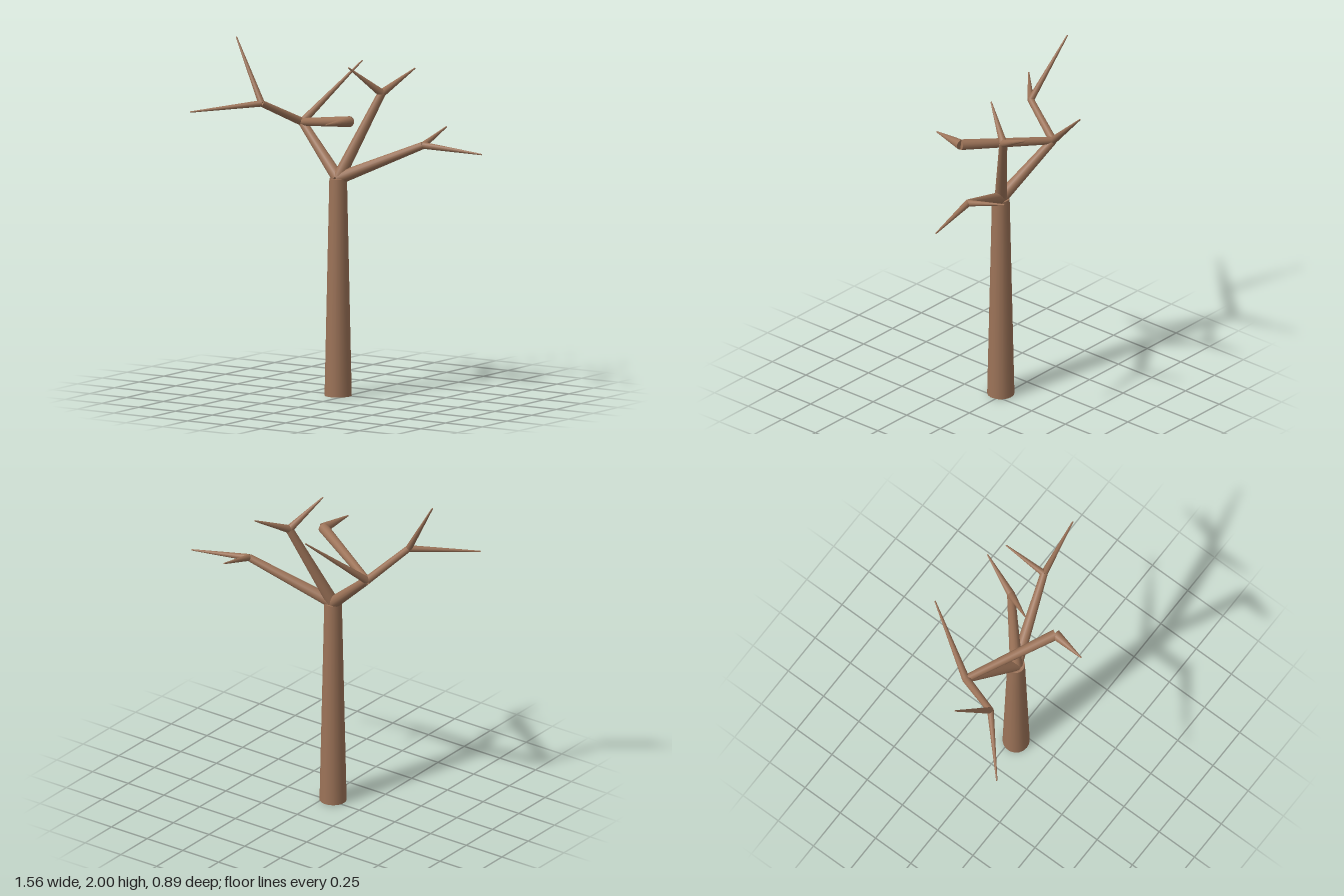
import * as THREE from 'three';

const bark = new THREE.MeshStandardMaterial({ color: 0x9c7358 });
const UP = new THREE.Vector3(0, 1, 0);

// Tapered limb running from point a (radius ra) to point b (radius rb)
function limb(name, a, b, ra, rb, sides = 14) {
  const start = new THREE.Vector3(...a);
  const dir = new THREE.Vector3(...b).sub(start);
  const length = dir.length();
  const mesh = new THREE.Mesh(new THREE.CylinderGeometry(rb, ra, length, sides), bark);
  mesh.name = name;
  mesh.position.copy(start).addScaledVector(dir, 0.5);
  mesh.quaternion.setFromUnitVectors(UP, dir.normalize());
  return mesh;
}

export function createModel() {
  const tree = new THREE.Group();
  tree.name = 'bareTree';

  // Joints where limbs fork
  const fork = [-0.05, 1.24, 0.023];
  const rightFork = [-0.37, 1.52, -0.09];
  const outerFork = [-0.475, 1.65, 0.165];
  const elbow = [0.125, 1.6, 0.17];
  const middleFork = [0.13, 1.72, -0.15];
  const leftFork = [0.42, 1.45, -0.137];

  // Trunk
  tree.add(limb('trunk', [-0.05, 0, 0.023], fork, 0.077, 0.05, 18));

  // Main branches: name, from, to, start radius, end radius
  const branches = [
    ['rightBranch', fork, rightFork, 0.036, 0.024],
    ['middleBranch', fork, middleFork, 0.036, 0.023],
    ['leftBranch', fork, leftFork, 0.036, 0.021],
    ['outerBranch', rightFork, outerFork, 0.023, 0.019],
    ['crossBranch', rightFork, elbow, 0.022, 0.031],
  ];
  for (const b of branches) tree.add(limb(...b));

  // Pointed twigs: name, from, tip, start radius
  const twigs = [
    ['outerTwigUp', outerFork, [-0.7, 2.0, 0.085], 0.019],
    ['outerTwigOut', outerFork, [-0.777, 1.61, 0.44], 0.019],
    ['rightTwigBack', rightFork, [-0.197, 1.84, -0.44], 0.022],
    ['elbowTwig', elbow, [0.1, 1.605, 0.37], 0.03],
    ['middleTwigFront', middleFork, [0.025, 1.88, 0.03], 0.023],
    ['middleTwigBack', middleFork, [0.205, 1.84, -0.375], 0.023],
    ['leftTwigOut', leftFork, [0.775, 1.42, -0.203], 0.02],
    ['leftTwigBack', leftFork, [0.405, 1.52, -0.395], 0.019],
  ];
  for (const [name, from, tip, r] of twigs) tree.add(limb(name, from, tip, r, 0.004));

  return tree;
}
